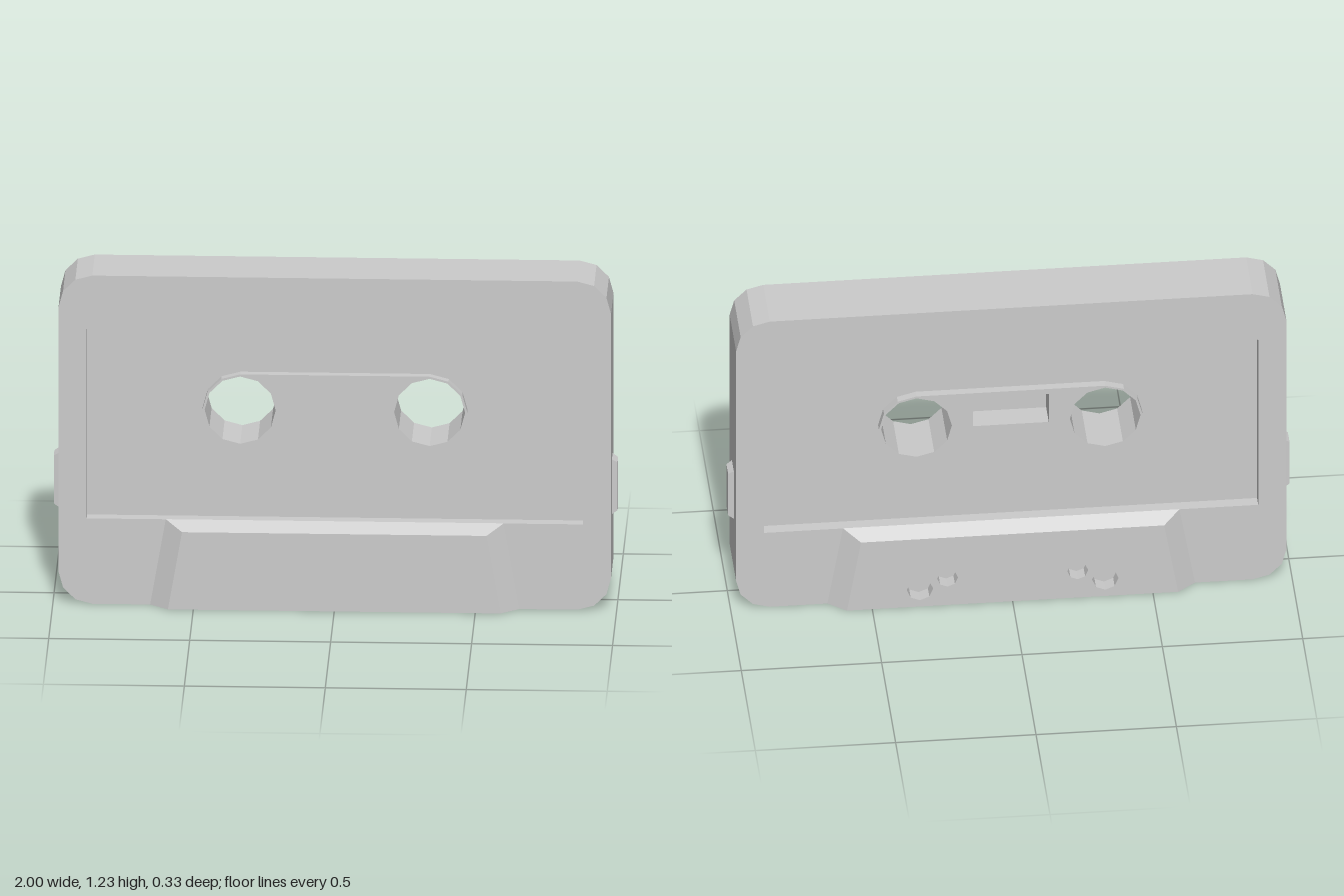
import * as THREE from 'three';

const mat = new THREE.MeshStandardMaterial({ color: 0xcccccc, flatShading: true });
const W = 0.98, H = 1.23, R = 0.12;   // half width, height and corner radius of the body
const BODY = 0.115, LABEL = 0.072, HUB = 0.102, FOOT = 0.166;   // half depths of the steps
const POCKET = 0.085, WINDOW = -0.01;
const REEL_X = 0.336, REEL_Y = 0.728;

const pts = (list) => list.map(([x, y]) => new THREE.Vector2(x, y));

function arc(cx, cy, r, start, end, n) {
  const out = [];
  for (let i = 0; i <= n; i++) {
    const a = start + (end - start) * i / n;
    out.push([cx + r * Math.cos(a), cy + r * Math.sin(a)]);
  }
  return out;
}
const ngon = (cx, cy, r, n) => arc(cx, cy, r, 0, Math.PI * 2, n).slice(0, n);
const rect = (x, y0, y1) => [[-x, y0], [x, y0], [x, y1], [-x, y1]];

// Flat plate with holes between two depths
function plate(outline, holes, z0, z1) {
  const shape = new THREE.Shape(pts(outline));
  holes.forEach((h) => shape.holes.push(new THREE.Path(pts(h))));
  const g = new THREE.ExtrudeGeometry(shape, { depth: z1 - z0, bevelEnabled: false });
  return g.translate(0, 0, z0);
}

// Rounded body outline, optionally notched along the bottom edge
function bodyOutline(notched) {
  const q = Math.PI / 2, out = [...arc(-W + R, R, R, 2 * q, 3 * q, 3)];
  if (notched) {
    for (const [x, w] of [[-0.44, 0.285], [-0.22, 0.065], [0, 0.285], [0.22, 0.065], [0.44, 0.285]]) {
      out.push([x - w / 2, 0], [x - w / 2, 0.065], [x + w / 2, 0.065], [x + w / 2, 0]);
    }
  }
  return [...out, ...arc(W - R, R, R, 3 * q, 4 * q, 3),
    ...arc(W - R, H - R, R, 0, q, 3), ...arc(-W + R, H - R, R, q, 2 * q, 3)];
}

// Raised foot block: the rear outer corners spread to form the slopes
function footGeometry(holes) {
  const g = plate([[-0.59, 0], [0.59, 0], [0.54, 0.29], [-0.54, 0.29]], holes, BODY, FOOT);
  const p = g.attributes.position;
  for (let i = 0; i < p.count; i++) {
    if (p.getZ(i) < BODY + 0.01 && Math.abs(p.getX(i)) > 0.5) {
      p.setXY(i, p.getX(i) * 1.11, p.getY(i) * 1.105);
    }
  }
  g.computeVertexNormals();
  return g;
}

// Side tab: a box whose outer face is smaller
function tabGeometry() {
  const g = new THREE.BoxGeometry(0.04, 0.23, 0.08);
  const p = g.attributes.position;
  for (let i = 0; i < p.count; i++) {
    if (p.getX(i) > 0) {
      p.setY(i, p.getY(i) * 0.78);
      p.setZ(i, p.getZ(i) * 0.75);
    }
  }
  g.computeVertexNormals();
  return g.translate(0.98, 0.435, 0);
}

export function createModel() {
  const model = new THREE.Group();
  const add = (name, geometry, turned = false) => {
    const mesh = new THREE.Mesh(geometry, mat);
    mesh.name = name;
    if (turned) mesh.rotation.y = Math.PI;
    model.add(mesh);
  };

  const reels = [-1, 1].map((s) => ngon(s * REEL_X, REEL_Y, 0.126, 12));
  const windowHole = rect(0.135, 0.72, 0.84);
  const label = [[-0.88, 0.32], [0.88, 0.32], [0.88, 1.03], [0.78, 1.13], [-0.78, 1.13], [-0.88, 1.03]];
  const notched = bodyOutline(true), plain = bodyOutline(false);

  // Core, with the window cut only into its back half
  add('coreFront', plate(notched, reels, WINDOW, LABEL));
  add('coreBack', plate(notched, [...reels, windowHole], -LABEL, WINDOW));

  // Raised surround between and around the reel holes
  const q = Math.PI / 2;
  const hub = [...arc(REEL_X, REEL_Y, 0.134, -q, q, 6), ...arc(-REEL_X, REEL_Y, 0.134, q, 3 * q, 6)];

  // Small round pockets in the back foot, in mirrored pairs
  const pockets = [-1, 1].flatMap((s) => [
    ngon(s * 0.33, 0.074, 0.047, 8),
    ngon(s * 0.232, 0.116, 0.037, 8),
  ]);

  for (const back of [false, true]) {
    const side = back ? 'back' : 'front';
    add(side + 'InnerFrame', plate(notched, [label], LABEL, POCKET), back);
    add(side + 'OuterFrame', plate(plain, [label], POCKET, BODY), back);
    add(side + 'ReelSurround', plate(hub, back ? [...reels, windowHole] : reels, LABEL, HUB), back);
    add(side + 'Foot', footGeometry(back ? pockets : []), back);
    add(back ? 'rightTab' : 'leftTab', tabGeometry(), back);
  }
  return model;
}
